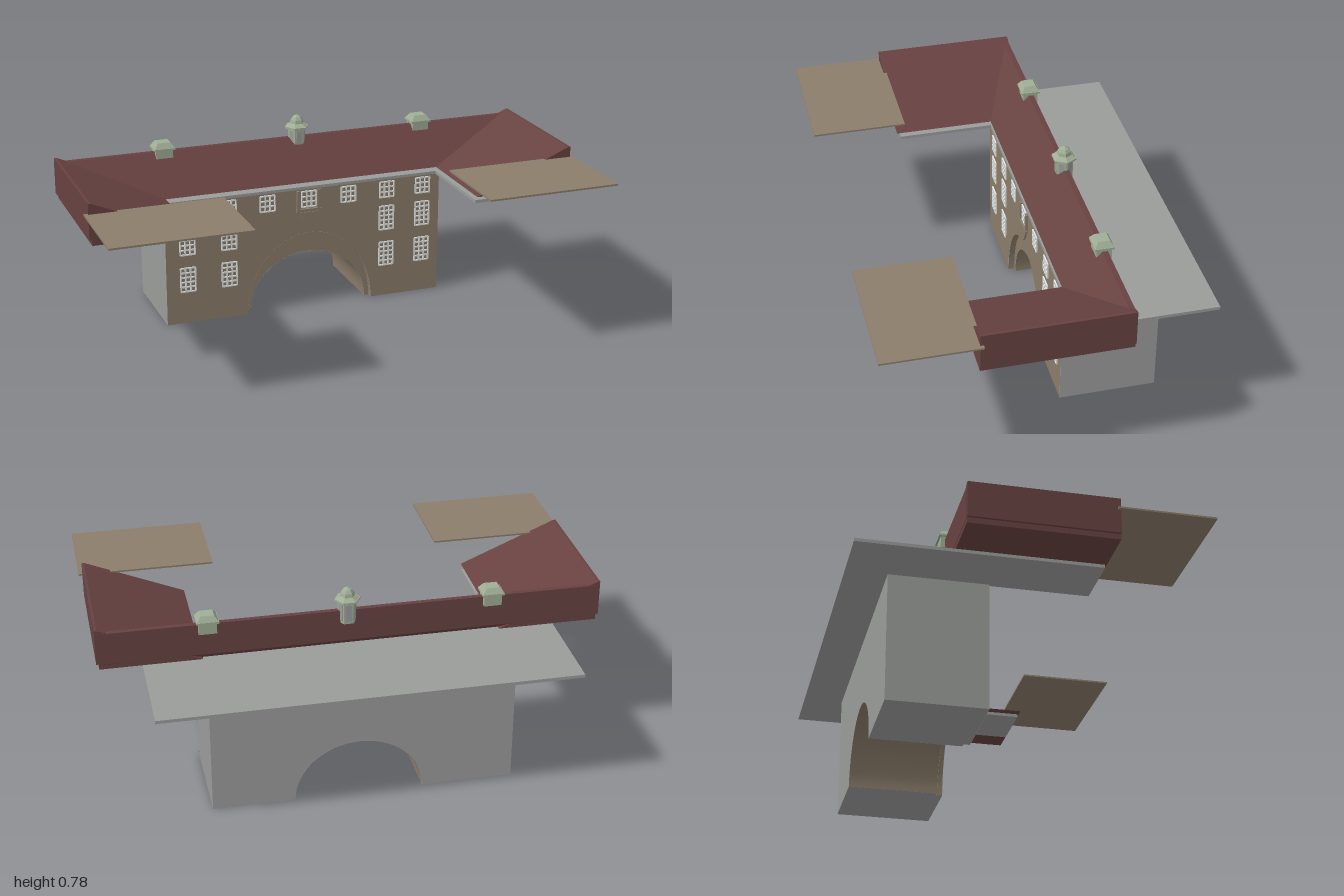
import * as THREE from 'three';

const mat = (name, color, side = THREE.FrontSide) => {
  const m = new THREE.MeshStandardMaterial({ color, side });
  m.name = name;
  return m;
};

export function createModel() {
  const root = new THREE.Group();
  root.name = 'gatehouse';
  const stone = mat('tan stone', 0x8b7d6b, THREE.DoubleSide);
  const grey = mat('plain grey', 0x9a9c9a);
  const red = mat('roof red', 0x674241);
  const green = mat('copper green', 0xa0ae96);
  const white = mat('window white', 0xe8ebeb);

  const add = (name, geo, material, x = 0, y = 0, z = 0, parent = root) => {
    const m = new THREE.Mesh(geo, material);
    m.name = name;
    m.position.set(x, y, z);
    parent.add(m);
    return m;
  };
  const box = (name, material, x0, x1, y0, y1, z0, z1, parent = root) =>
    add(name, new THREE.BoxGeometry(x1 - x0, y1 - y0, z1 - z0), material,
      (x0 + x1) / 2, (y0 + y1) / 2, (z0 + z1) / 2, parent);
  const poly = (pts) => new THREE.Shape(pts.map(([x, y]) => new THREE.Vector2(x, y)));
  const extrude = (shape, depth) =>
    new THREE.ExtrudeGeometry(shape, { depth, bevelEnabled: false });

  // Arched wall outline and arch linings
  const CX = 0.022, L = -0.59, R = 0.595, TOP = 0.512, SEG = 32;
  const FRONT = -0.11, STEP = -0.135, BACK = -0.495;
  const arch = (rx, ry) => Array.from({ length: SEG + 1 }, (_, i) => {
    const a = Math.PI * (1 - i / SEG);
    return [CX + rx * Math.cos(a), Math.max(0, ry * Math.sin(a))];
  });
  const wall = (pts) => poly([[L, 0], ...pts, [R, 0], [R, TOP], [L, TOP]]);
  const lining = (pts, z0, z1) => {
    const pos = [], idx = [];
    pts.forEach(([x, y], i) => {
      pos.push(x, y, z0, x, y, z1);
      if (i) idx.push(2 * i - 2, 2 * i - 1, 2 * i, 2 * i - 1, 2 * i + 1, 2 * i);
    });
    const g = new THREE.BufferGeometry();
    g.setAttribute('position', new THREE.Float32BufferAttribute(pos, 3));
    g.setIndex(idx);
    g.computeVertexNormals();
    return g;
  };
  const inner = arch(0.252, 0.235), outer = arch(0.272, 0.325);
  add('mainBlock', extrude(wall(inner), STEP - BACK), grey, 0, 0, BACK);
  add('frontLayer', extrude(wall(outer), FRONT - STEP), grey, 0, 0, STEP);
  add('frontFace', new THREE.ShapeGeometry(wall(outer)), stone, 0, 0, FRONT + 0.001);
  const ring = poly([...inner, ...outer.slice().reverse()]);
  add('archRing', new THREE.ShapeGeometry(ring), stone, 0, 0, STEP + 0.001);
  add('archLining', lining(arch(0.251, 0.234), BACK, STEP), stone);
  add('archRingLining', lining(arch(0.271, 0.324), STEP, FRONT), stone);

  // U-shaped slab on top of the block
  const slab = poly([[-0.81, 0.655], [-0.81, -0.278], [-0.58, -0.278], [-0.58, 0.11],
    [0.58, 0.11], [0.58, -0.278], [0.81, -0.278], [0.81, 0.655]]);
  add('eavesSlab', extrude(slab, 0.013).rotateX(-Math.PI / 2), grey, 0, 0.51, 0);

  // Main roof: slope to the front, upright wall at the back
  const mainProfile = poly([[-0.11, 0.54], [-0.258, 0.69], [-0.278, 0.69], [-0.278, 0.56], [-0.26, 0.54]]);
  add('mainRoof', extrude(mainProfile, 1.95).rotateY(-Math.PI / 2), red, 0.975, 0, 0);

  // Wing roofs and the loose flat plates in front of them
  for (const s of [1, -1]) {
    const profile = poly([[0.582, 0.54], [0.975, 0.54], [0.975, 0.562], [0.985, 0.562],
      [0.985, 0.705], [0.975, 0.705]].map(([x, y]) => [x * s, y]));
    add('wingRoof', extrude(profile, 0.57), red, 0, 0, -0.277);
    const a = 0.462 * s, b = s;
    box('flatPlate', stone, Math.min(a, b), Math.max(a, b), 0.656, 0.663, 0.28, 0.655);
  }

  // Windows: white lattices on the front face
  const lattice = (x, y0, y1, cols, rows) => {
    const g = new THREE.Group();
    g.name = 'window';
    root.add(g);
    const w = 0.062, t = 0.0028, z0 = FRONT, z1 = FRONT + 0.006;
    for (let i = 0; i <= cols; i++) {
      const px = x - w / 2 + (w * i) / cols;
      box('upright', white, px - t, px + t, y0, y1, z0, z1, g);
    }
    for (let j = 0; j <= rows; j++) {
      const py = y0 + ((y1 - y0) * j) / rows;
      box('crossbar', white, x - w / 2, x + w / 2, py - t, py + t, z0, z1, g);
    }
  };
  for (const x of [-0.5, -0.325, -0.16, 0.018, 0.19, 0.36, 0.52]) {
    lattice(x, 0.437, 0.503, 3, 3);
    if (Math.abs(x) < 0.3) continue;
    lattice(x, 0.295, 0.397, 3, 5);
    lattice(x, 0.137, 0.238, 3, 5);
  }

  // Stone surround and relief at the middle window
  for (const s of [-1, 1]) {
    const x = 0.018 + s * 0.045;
    box('windowJamb', stone, x - 0.008, x + 0.008, 0.425, 0.508, FRONT, FRONT + 0.01);
  }
  box('windowSill', stone, -0.037, 0.073, 0.418, 0.43, FRONT, FRONT + 0.012);
  const relief = poly([[-0.02, 0.415], [0.056, 0.415], [0.046, 0.38], [0.018, 0.35], [-0.01, 0.38]]);
  add('relief', extrude(relief, 0.008), stone, 0, 0, FRONT);

  // Roof vents with flat-topped hipped caps
  for (const x of [-0.547, 0.562]) {
    const vent = new THREE.Group();
    vent.name = 'roofVent';
    vent.position.set(x, 0, -0.265);
    root.add(vent);
    box('ventBody', green, -0.035, 0.035, 0.655, 0.702, -0.03, 0.03, vent);
    box('ventEaves', green, -0.043, 0.043, 0.7, 0.708, -0.038, 0.038, vent);
    const cap = new THREE.CylinderGeometry(0.026 * Math.SQRT2, 0.041 * Math.SQRT2, 0.022, 4, 1)
      .toNonIndexed().rotateY(Math.PI / 4).scale(1, 1, 0.9);
    cap.computeVertexNormals();
    add('ventCap', cap, green, 0, 0.719, 0, vent);
  }

  // Six-sided cupola with stepped cap and dome
  const cupola = new THREE.Group();
  cupola.name = 'cupola';
  cupola.position.set(0.022, 0, -0.265);
  root.add(cupola);
  const hex = (name, r0, r1, y0, y1) => {
    const g = new THREE.CylinderGeometry(r1, r0, y1 - y0, 6).toNonIndexed().rotateY(Math.PI / 6);
    g.computeVertexNormals();
    add(name, g, green, 0, (y0 + y1) / 2, 0, cupola);
  };
  hex('cupolaBody', 0.037, 0.037, 0.64, 0.732);
  hex('cupolaRim', 0.051, 0.051, 0.729, 0.736);
  hex('cupolaSkirt', 0.048, 0.03, 0.736, 0.748);
  hex('domeLower', 0.03, 0.027, 0.748, 0.762);
  hex('domeMiddle', 0.027, 0.018, 0.762, 0.774);
  hex('domeTop', 0.018, 0.004, 0.774, 0.782);
  for (let i = 0; i < 6; i++) {
    const side = new THREE.Group();
    side.name = 'cupolaSide';
    side.rotation.y = (i * Math.PI) / 3;
    cupola.add(side);
    box('cupolaPanel', grey, -0.011, 0.011, 0.65, 0.72, 0.031, 0.0335, side);
  }
  return root;
}
